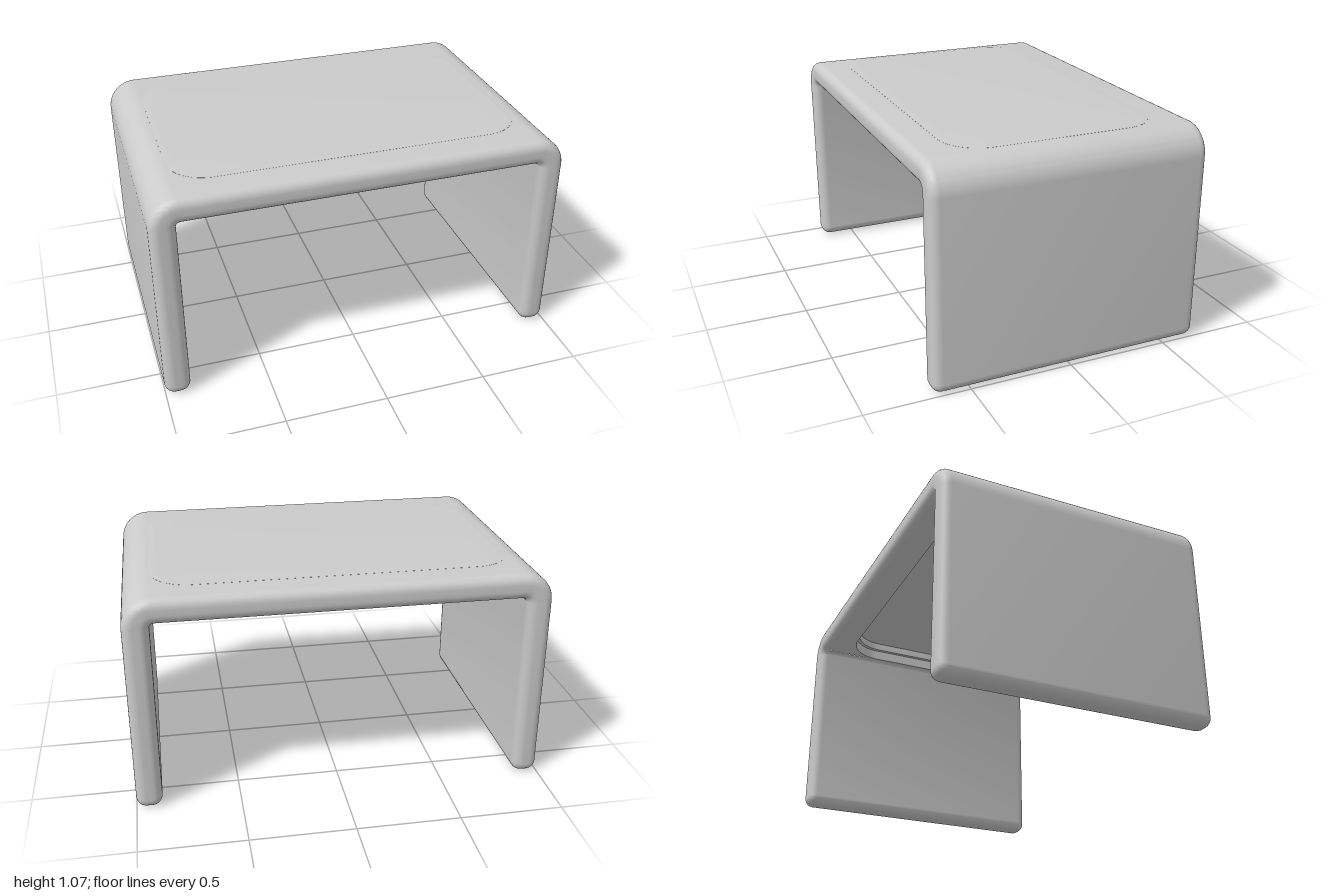
import * as THREE from 'three';
import { toCreasedNormals } from 'three/addons/utils/BufferGeometryUtils.js';

const material = new THREE.MeshStandardMaterial({ color: 0xcccccc });

const H = 1.067, UNDER = 0.945, INNER = 0.875, HALF_Z = 0.675, EDGE = 0.045;

// Rounded rectangle centred on the origin
function roundedRect(hx, hy, r) {
  const s = new THREE.Shape();
  s.absarc(hx - r, hy - r, r, 0, Math.PI / 2);
  s.absarc(-hx + r, hy - r, r, Math.PI / 2, Math.PI);
  s.absarc(-hx + r, -hy + r, r, Math.PI, Math.PI * 1.5);
  s.absarc(hx - r, -hy + r, r, Math.PI * 1.5, Math.PI * 2);
  s.closePath();
  return s;
}

// Arched profile: two legs joined by the top
function archShape() {
  const R = 0.14, f = 0.022, e = 0.05, q = Math.PI / 2;
  const s = new THREE.Shape();
  s.absarc(1 - e, e, e, -q, 0);
  s.absarc(1 - R, H - R, R, 0, q);
  s.absarc(-1 + R, H - R, R, q, 2 * q);
  s.absarc(-1 + e, e, e, 2 * q, 3 * q);
  s.absarc(-INNER - e, e, e, 3 * q, 4 * q);
  s.absarc(-INNER + f, UNDER - f, f, 2 * q, q, true);
  s.absarc(INNER - f, UNDER - f, f, q, 0, true);
  s.absarc(INNER + e, e, e, 2 * q, 3 * q);
  s.closePath();
  return s;
}

// Drop the flat underside so that a holed panel can take its place
function openUnderside(geo) {
  const p = geo.attributes.position, n = geo.attributes.normal;
  const pos = [], nor = [];
  for (let i = 0; i < p.count; i += 3) {
    const flat = [0, 1, 2].every(k => Math.abs(p.getY(i + k) - UNDER) < 1e-4);
    if (flat) continue;
    for (let k = i; k < i + 3; k++) {
      pos.push(p.getX(k), p.getY(k), p.getZ(k));
      nor.push(n.getX(k), n.getY(k), n.getZ(k));
    }
  }
  const out = new THREE.BufferGeometry();
  out.setAttribute('position', new THREE.Float32BufferAttribute(pos, 3));
  out.setAttribute('normal', new THREE.Float32BufferAttribute(nor, 3));
  return out;
}

// Horizontal slab from y0 to y1, optionally with a hole
function slab(shape, y0, y1, hole, bevel = {}) {
  if (hole) shape.holes.push(hole);
  const geo = new THREE.ExtrudeGeometry(shape, {
    depth: y1 - y0, bevelEnabled: false, curveSegments: 16, ...bevel
  });
  geo.rotateX(-Math.PI / 2).translate(0, y0, 0);
  return toCreasedNormals(geo, 0.5);
}

export function createModel() {
  const group = new THREE.Group();
  const add = (name, geo) => {
    const mesh = new THREE.Mesh(geo, material);
    mesh.name = name;
    group.add(mesh);
  };

  // Body with rounded edges
  const depth = 2 * (HALF_Z - EDGE);
  const body = new THREE.ExtrudeGeometry(archShape(), {
    depth, curveSegments: 10, bevelEnabled: true, bevelSegments: 6,
    bevelSize: EDGE, bevelThickness: EDGE, bevelOffset: -EDGE
  });
  body.translate(0, 0, -depth / 2);
  add('body', openUnderside(toCreasedNormals(body, 0.6)));

  // Underside around the recess
  const under = new THREE.Shape();
  const ux = INNER - 0.022, uz = depth / 2;
  under.moveTo(-ux, -uz).lineTo(ux, -uz).lineTo(ux, uz).lineTo(-ux, uz).closePath();
  under.holes.push(roundedRect(0.848, 0.515, 0.18));
  const underside = new THREE.ShapeGeometry(under, 16);
  underside.rotateX(Math.PI / 2).translate(0, UNDER, 0);
  add('underside', underside);

  // Stepped walls of the recess
  add('recessWall', slab(roundedRect(0.87, 0.53, 0.2), UNDER + 0.0005, 1.05,
    roundedRect(0.848, 0.515, 0.18)));
  add('recessLedge', slab(roundedRect(0.87, 0.53, 0.2), 1.0, 1.05,
    roundedRect(0.828, 0.498, 0.165)));

  // Inset top panel, slightly proud of the body
  add('topPanel', slab(roundedRect(0.86, 0.515, 0.19), 1.043, 1.0675, null, {
    bevelEnabled: true, bevelSegments: 1, bevelSize: 0.025,
    bevelThickness: 0.003, bevelOffset: -0.025
  }));

  return group;
}
